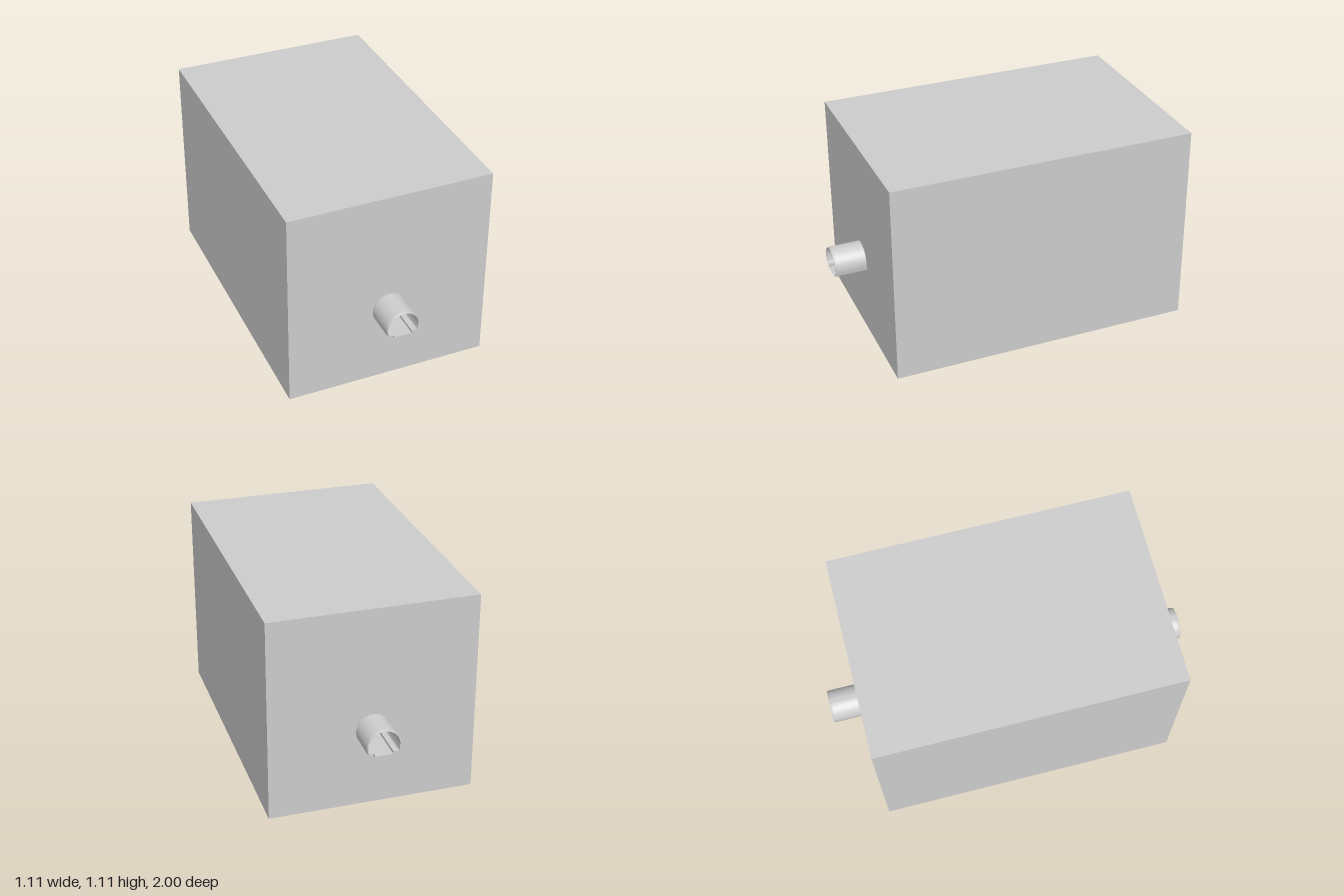
import * as THREE from 'three';
import { toCreasedNormals } from 'three/addons/utils/BufferGeometryUtils.js';

const HALF_W = 0.553, HEIGHT = 1.107, HALF_L = 0.828;
const CENTRE_Y = 0.43, RADIUS = 0.09;

// Arched tunnel section with a shallow channel in its floor, counter-clockwise
function section(inset, floorInset) {
  const r = RADIUS - inset, f = floorInset;
  const right = [[0.05 - f, 0.378 + f], [0.05 - f, 0.392 + f], [0.08 - inset, 0.392 + f],
    [0.085 - inset, 0.396 + f], [0.0885 - inset, 0.412]];
  const points = right.map(([x, y]) => new THREE.Vector2(x, y));
  const steps = 32;
  for (let i = 0; i <= steps; i++) {
    const a = Math.PI * i / steps;
    points.push(new THREE.Vector2(r * Math.cos(a), CENTRE_Y + r * Math.sin(a)));
  }
  right.reverse().forEach(([x, y]) => points.push(new THREE.Vector2(-x, y)));
  return points;
}

// Thin-walled pipe: outside, rounded end, inside and the other end in one closed loft
function pipeGeometry() {
  const stations = [
    [-0.985, 0, 0], [0.985, 0, 0], [0.996, 0.0015, 0.0003], [1, 0.004, 0.0008],
    [1, 0.006, 0.001], [-1, 0.006, 0.001], [-1, 0.004, 0.0008], [-0.996, 0.0015, 0.0003],
  ];
  const positions = [], indices = [];
  let n = 0;
  for (const [z, inset, floorInset] of stations) {
    const ring = section(inset, floorInset);
    n = ring.length;
    ring.forEach(p => positions.push(p.x, p.y, z));
  }
  for (let j = 0; j < stations.length; j++) {
    const k = (j + 1) % stations.length;
    for (let i = 0; i < n; i++) {
      const m = (i + 1) % n;
      const a = j * n + i, b = j * n + m, c = k * n + m, d = k * n + i;
      indices.push(a, b, c, a, c, d);
    }
  }
  const geometry = new THREE.BufferGeometry();
  geometry.setAttribute('position', new THREE.Float32BufferAttribute(positions, 3));
  geometry.setIndex(indices);
  return toCreasedNormals(geometry, 0.6);
}

export function createModel() {
  const model = new THREE.Group();
  const material = new THREE.MeshStandardMaterial({ color: 0xcccccc, side: THREE.DoubleSide });

  // Solid block pierced from front to back
  const face = new THREE.Shape([
    new THREE.Vector2(-HALF_W, 0), new THREE.Vector2(HALF_W, 0),
    new THREE.Vector2(HALF_W, HEIGHT), new THREE.Vector2(-HALF_W, HEIGHT),
  ]);
  face.holes.push(new THREE.Path(section(0, 0).reverse()));
  const blockGeometry = new THREE.ExtrudeGeometry(face, { depth: 2 * HALF_L, bevelEnabled: false });
  blockGeometry.translate(0, 0, -HALF_L);
  const block = new THREE.Mesh(blockGeometry, material);
  block.name = 'block';

  // Tunnel lining that projects from both ends
  const pipe = new THREE.Mesh(pipeGeometry(), material);
  pipe.name = 'tunnelPipe';

  model.add(block, pipe);
  return model;
}
